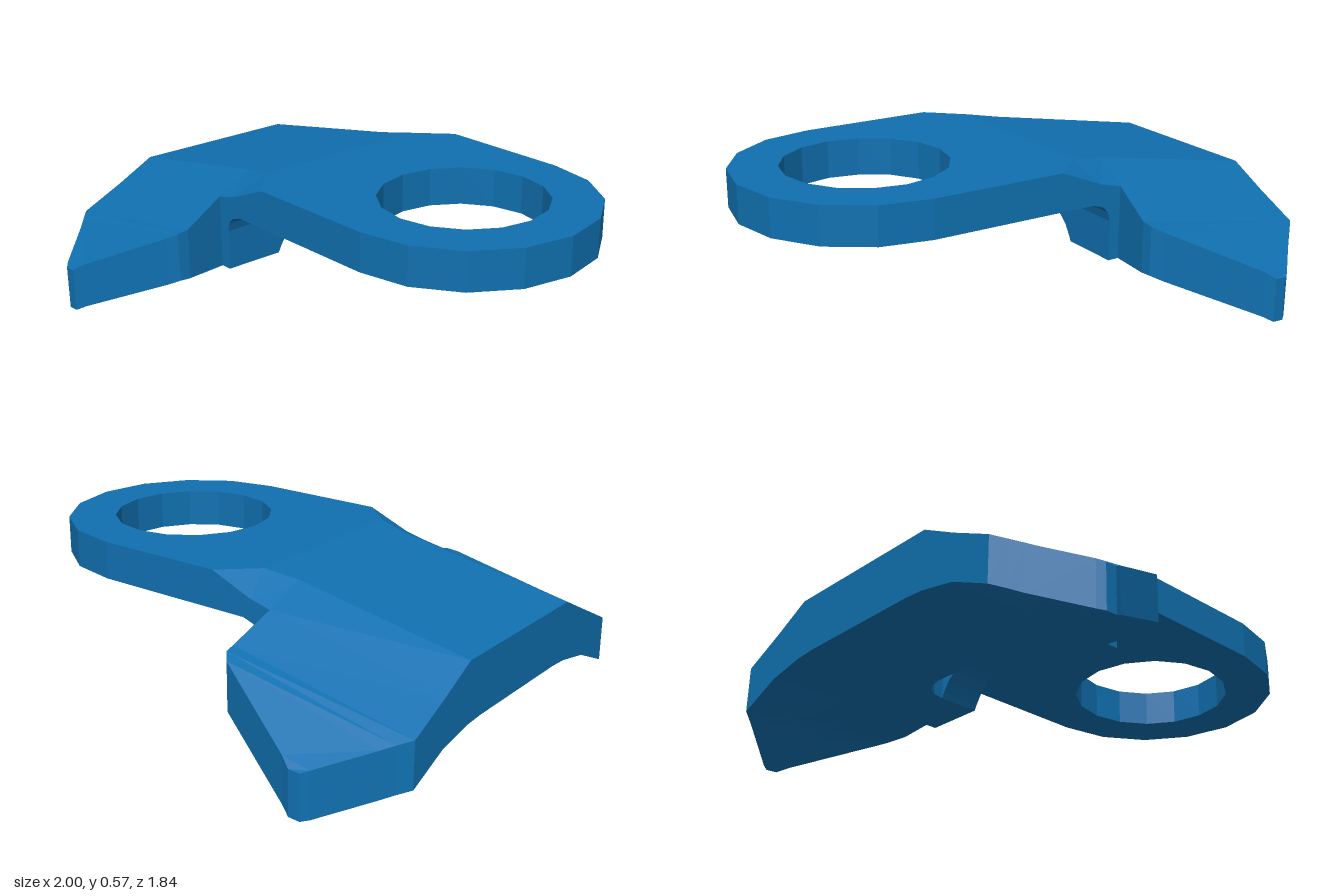
import * as THREE from 'three';

// Loft [x, y] sections (counter-clockwise seen from +z) from z = 0 outward,
// cap the outer end and mirror the result to -z.
function mirroredLoft(sections) {
  const pos = [];
  const tri = (a, b, c) => {
    pos.push(...a, ...b, ...c);
    for (const p of [a, c, b]) pos.push(p[0], p[1], -p[2]);
  };
  const rings = sections.map(({ z, pts }) => pts.map(([x, y]) => [x, y, z]));
  for (let i = 0; i < rings.length - 1; i++) {
    const a = rings[i], b = rings[i + 1], n = a.length;
    for (let j = 0; j < n; j++) {
      const k = (j + 1) % n;
      tri(a[j], a[k], b[j]);
      tri(a[k], b[k], b[j]);
    }
  }
  const end = rings[rings.length - 1];
  const flat = end.map(([x, y]) => new THREE.Vector2(x, y));
  for (const [i, j, k] of THREE.ShapeUtils.triangulateShape(flat, [])) tri(end[i], end[j], end[k]);
  const geo = new THREE.BufferGeometry();
  geo.setAttribute('position', new THREE.Float32BufferAttribute(pos, 3));
  geo.computeVertexNormals();
  return geo;
}

// Underside notch: [z, arch height], open at the front of the neck
const BASE = 0.2, CEILING = 0.315;
const ARCH = [[0, CEILING], [0.1, CEILING], [0.15, 0.31], [0.19, 0.29], [0.225, 0.26], [0.25, 0.22], [0.26, BASE]];

// Winged head: sloping roof, drooping side wings, slot underneath
function headGeometry() {
  const slotX = -0.41, slotR = 0.11;
  const middle = (z, arch, ceiling) => {
    const off = Math.max(0, z - 0.15);
    const back = slotX - Math.sqrt(Math.max(0, slotR * slotR - off * off));
    return { z, pts: [
      [-1, 0.425], [-1, BASE], [back, BASE], [back, ceiling],
      [slotX, ceiling], [slotX, arch], [-0.3, arch], [-0.3, 0.552],
    ] };
  };
  const wing = (z, x0, top0, bot0, x1, top1, bot1) => {
    const at = (t) => [x0 + (x1 - x0) * t, bot0 + (bot1 - bot0) * t];
    return { z, pts: [[x0, top0], at(0), at(0.3), at(0.45), at(0.6), at(0.75), at(1), [x1, top1]] };
  };
  return mirroredLoft([
    ...ARCH.map(([z, y]) => middle(z, y, CEILING)),
    middle(0.26, BASE, BASE),
    wing(0.345, -1, 0.425, 0.195, -0.3, 0.552, BASE),
    wing(0.5, -1, 0.345, 0.165, -0.29, 0.483, BASE),
    wing(0.67, -1, 0.265, 0.09, -0.265, 0.4, 0.205),
    wing(0.71, -0.957, 0.25, 0.075, -0.27, 0.392, 0.205),
    wing(0.745, -0.92, 0.235, 0.06, -0.3, 0.375, 0.19),
    wing(0.9, -0.765, 0.18, 0.005, -0.655, 0.2, 0.025),
    wing(0.92, -0.74, 0.17, 0, -0.695, 0.172, 0.002),
  ]);
}

// Neck: filleted step joining the head to the ring plate, with chamfered shoulders
function neckGeometry() {
  const section = (z, base, mid, top) => ({ z, pts: [
    [-0.3, base], [-0.245, base], [-0.245, 0.355], [-0.235, 0.39], [-0.215, 0.413], [-0.17, 0.428],
    [-0.03, 0.428], [-0.03, 0.575], mid, [-0.3, top],
  ] });
  return mirroredLoft([
    ...ARCH.map(([z, y]) => section(z, y, [-0.165, 0.575], 0.552)),
    section(0.345, BASE, [-0.165, 0.575], 0.552),
    section(0.375, BASE, [-0.165, 0.575], 0.538),
    section(0.5, BASE, [-0.2, 0.505], 0.48),
  ]);
}

// Ring plate: straight sides, sixteen-sided round end and hole
function plateGeometry() {
  const arc = (r, from, count) => Array.from({ length: count }, (_, i) => {
    const a = from + (i * Math.PI) / 8;
    return new THREE.Vector2(0.5 + r * Math.cos(a), r * Math.sin(a));
  });
  const shape = new THREE.Shape([
    new THREE.Vector2(-0.03, -0.5), ...arc(0.5, -Math.PI / 2, 9), new THREE.Vector2(-0.03, 0.5),
  ]);
  shape.holes.push(new THREE.Path(arc(0.315, 0, 16).reverse()));
  const geo = new THREE.ExtrudeGeometry(shape, { depth: 0.147, bevelEnabled: false });
  return geo.rotateX(-Math.PI / 2).translate(0, 0.428, 0);
}

export function createModel() {
  const group = new THREE.Group();
  const blue = new THREE.MeshStandardMaterial({ color: 0x1070b0 });
  blue.name = 'blue';
  const parts = { wingedHead: headGeometry(), neck: neckGeometry(), ringPlate: plateGeometry() };
  for (const [name, geo] of Object.entries(parts)) {
    const mesh = new THREE.Mesh(geo, blue);
    mesh.name = name;
    group.add(mesh);
  }
  return group;
}
